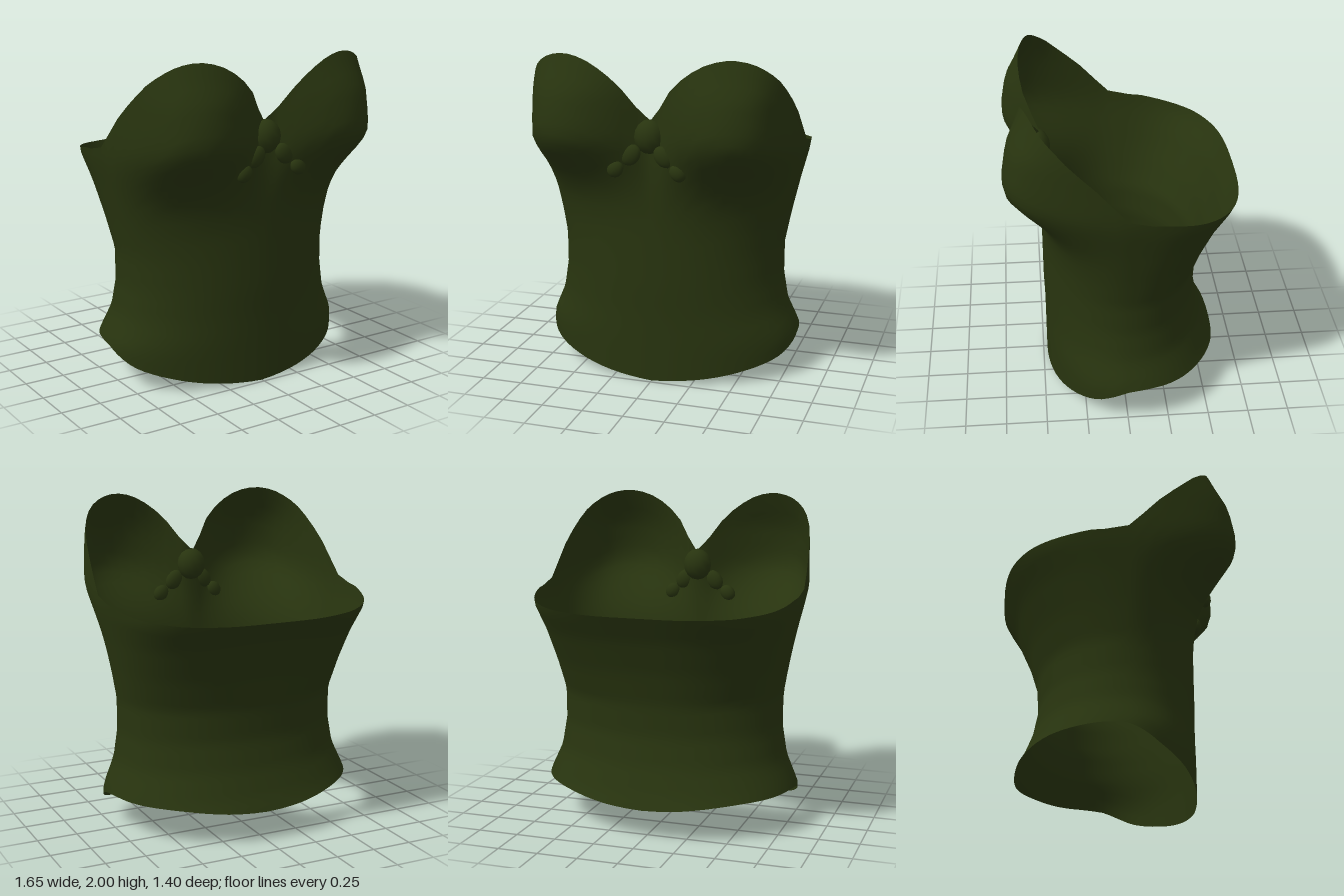
import * as THREE from 'three';

// Smooth interpolation through evenly spaced knots, t in [0, knots - 1]
function knots(list, t) {
  const i = Math.min(Math.floor(t), list.length - 2), f = t - i;
  const at = k => list[Math.max(0, Math.min(list.length - 1, k))];
  const p0 = at(i - 1), p1 = at(i), p2 = at(i + 1), p3 = at(i + 2);
  return p1 + 0.5 * f * (p2 - p0 + f * (2 * p0 - 5 * p1 + 4 * p2 - p3 + f * (3 * (p1 - p2) + p3 - p0)));
}

// Interpolation over a table of rows [y, value...]
function table(rows, y, column) {
  let i = 0;
  while (i < rows.length - 2 && y > rows[i + 1][0]) i++;
  const a = rows[i], b = rows[i + 1];
  const f = THREE.MathUtils.clamp((y - a[0]) / (b[0] - a[0]), 0, 1);
  return a[column] + (b[column] - a[column]) * f;
}

// Body sections: height, half width, front depth, back depth, back squareness
const SECTIONS = [
  [0.00, 0.80, 0.475, 0.64, 2.3],
  [0.20, 0.805, 0.475, 0.60, 2.3],
  [0.26, 0.80, 0.475, 0.565, 2.2],
  [0.42, 0.73, 0.475, 0.505, 2.1],
  [0.60, 0.70, 0.48, 0.47, 2.1],
  [0.80, 0.70, 0.48, 0.48, 2.1],
  [1.00, 0.735, 0.48, 0.535, 2.4],
  [1.20, 0.775, 0.485, 0.615, 2.7],
  [1.36, 0.81, 0.485, 0.705, 3],
  [1.45, 0.825, 0.48, 0.705, 3],
  [1.60, 0.82, 0.47, 0.70, 3],
  [2.00, 0.82, 0.47, 0.70, 3],
];
// Strength of the cups by height
const CUP_HEIGHT = [[0.95, 0], [1.1, 0.06], [1.2, 0.18], [1.31, 0.43], [1.4, 0.7],
  [1.5, 0.97], [1.6, 1], [1.78, 0.9], [1.9, 0.7], [2, 0.55]];
// Cup bulge from centre front to side
const CUP = [0, 0.13, 0.24, 0.31, 0.34, 0.33, 0.25, 0.12, 0];
// Hem and neckline heights from centre front round to centre back
const HEM = [0, 0.012, 0.03, 0.055, 0.085, 0.115, 0.15, 0.2, 0.24,
  0.25, 0.245, 0.24, 0.235, 0.225, 0.21, 0.195, 0.185];
const NECK = [1.62, 1.83, 1.95, 1.998, 1.99, 1.94, 1.85, 1.69, 1.47,
  1.43, 1.405, 1.39, 1.38, 1.37, 1.365, 1.36, 1.36];

// Point on the garment: s runs from 0 (centre front) to 2 (centre back)
function surfacePoint(s, y, side) {
  const angle = s * Math.PI / 2;
  const sin = Math.max(0, Math.sin(angle)), cos = Math.cos(angle);
  const a = table(SECTIONS, y, 1);
  if (s <= 1) {
    const bulge = table(CUP_HEIGHT, y, 1) * knots(CUP, s * 8);
    return new THREE.Vector3(side * a * sin, y, table(SECTIONS, y, 2) * cos + bulge);
  }
  const power = 2 / table(SECTIONS, y, 4);
  return new THREE.Vector3(side * a * sin ** power, y, -table(SECTIONS, y, 3) * Math.abs(cos) ** power);
}

function bodiceGeometry() {
  const columns = 72, rows = 30, positions = [], index = [];
  for (let j = 0; j <= rows; j++) {
    for (let i = 0; i < columns; i++) {
      const u = i / columns * 4;
      const side = u <= 2 ? 1 : -1, s = u <= 2 ? u : 4 - u;
      const y = THREE.MathUtils.lerp(knots(HEM, s * 8), knots(NECK, s * 8), j / rows);
      positions.push(...surfacePoint(s, y, side).toArray());
    }
  }
  for (let j = 0; j < rows; j++) {
    for (let i = 0; i < columns; i++) {
      const n = (i + 1) % columns;
      const a = j * columns + i, b = j * columns + n;
      index.push(a, b, b + columns, a, b + columns, a + columns);
    }
  }
  const geometry = new THREE.BufferGeometry();
  geometry.setAttribute('position', new THREE.Float32BufferAttribute(positions, 3));
  geometry.setIndex(index);
  geometry.computeVertexNormals();
  return geometry;
}

export function createModel() {
  const model = new THREE.Group();
  model.name = 'bustier';
  const green = new THREE.MeshStandardMaterial({ color: 0x28340f, side: THREE.DoubleSide });
  green.name = 'dark olive green';

  const bodice = new THREE.Mesh(bodiceGeometry(), green);
  bodice.name = 'bodice';
  model.add(bodice);

  // Beaded ornament between the cups
  const ornament = new THREE.Group();
  ornament.name = 'ornament';
  const bead = new THREE.SphereGeometry(1, 12, 8);
  function addBead(name, x, y, z, rx, ry, rz, tilt) {
    const mesh = new THREE.Mesh(bead, green);
    mesh.name = name;
    mesh.position.set(x, y, z);
    mesh.scale.set(rx, ry, rz);
    mesh.rotation.z = tilt;
    ornament.add(mesh);
  }
  addBead('centreBead', 0, 1.53, 0.49, 0.093, 0.102, 0.08, 0);
  for (const side of [1, -1]) {
    const label = side > 0 ? 'left' : 'right';
    for (const [name, x, y, rx, ry] of [['UpperBead', 0.1, 1.425, 0.055, 0.07], ['LowerBead', 0.19, 1.34, 0.048, 0.055]]) {
      const s = Math.asin(x / table(SECTIONS, y, 1)) * 2 / Math.PI;
      addBead(label + name, side * x, y, surfacePoint(s, y, 1).z, rx, ry, 0.035, side * 0.7);
    }
  }
  model.add(ornament);
  return model;
}
